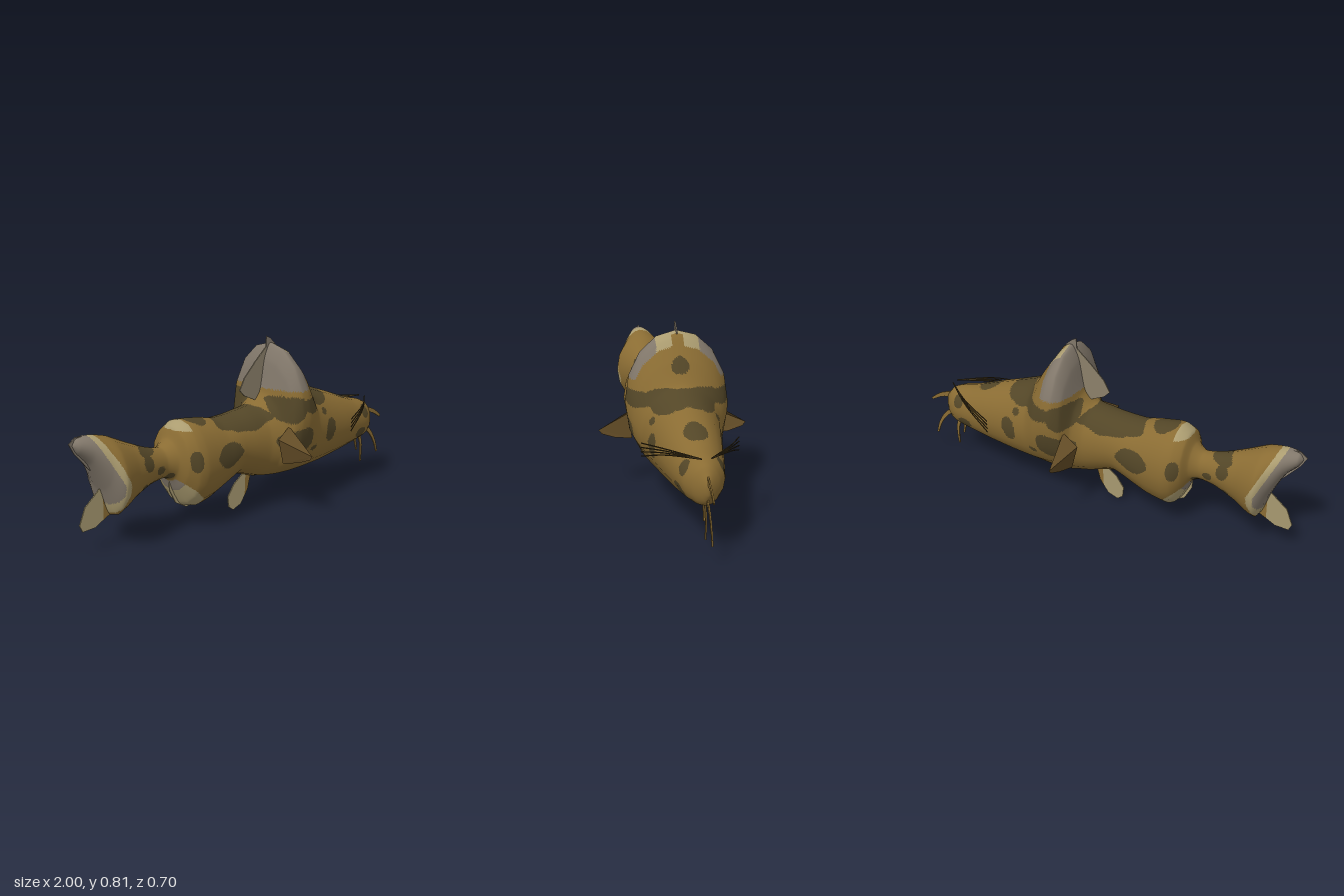
import * as THREE from 'three';

const mat = (name, color, side = THREE.FrontSide) => {
  const m = new THREE.MeshStandardMaterial({ color, side });
  m.name = name;
  return m;
};
const brown = mat('brownSkin', 0x8a6c33);
const dark = mat('darkBlotch', 0x534627);
const cream = mat('creamEdge', 0xab9c70);
const gray = mat('grayFin', 0x81776a);
const rayGray = mat('warmGrayFin', 0x8b806a);
const paleFin = mat('paleFin', 0xa6986f);
const darkFin = mat('darkFin', 0x634c26, THREE.DoubleSide);
const whiskerMat = mat('whiskerBrown', 0x3f3218);

// Body stations: x, top y, bottom y, half width
const STATIONS = [
  [-0.985, 0.485, 0.485, 0], [-0.965, 0.513, 0.45, 0.035], [-0.91, 0.52, 0.39, 0.065], [-0.85, 0.51, 0.27, 0.105],
  [-0.8, 0.495, 0.145, 0.14], [-0.7, 0.45, 0.19, 0.1], [-0.6, 0.41, 0.235, 0.073], [-0.52, 0.395, 0.25, 0.062],
  [-0.475, 0.425, 0.235, 0.085], [-0.45, 0.475, 0.18, 0.13], [-0.41, 0.5, 0.11, 0.158], [-0.365, 0.502, 0.089, 0.165],
  [-0.28, 0.49, 0.105, 0.152], [-0.2, 0.475, 0.14, 0.14], [-0.1, 0.48, 0.183, 0.13], [-0.03, 0.49, 0.17, 0.132],
  [0.05, 0.505, 0.145, 0.14], [0.1, 0.56, 0.137, 0.165], [0.13, 0.71, 0.134, 0.213], [0.165, 0.78, 0.133, 0.234],
  [0.21, 0.76, 0.133, 0.235], [0.27, 0.675, 0.135, 0.217], [0.34, 0.57, 0.137, 0.183], [0.45, 0.525, 0.144, 0.158],
  [0.6, 0.473, 0.165, 0.132], [0.72, 0.43, 0.186, 0.108], [0.8, 0.41, 0.2, 0.09], [0.85, 0.39, 0.213, 0.062],
  [0.877, 0.36, 0.235, 0.036], [0.896, 0.33, 0.27, 0.012], [0.9, 0.3, 0.3, 0]
];

// Dark flank blotches: x, y, x radius, y radius
const BLOTCHES = [
  [-0.06, 0.46, 0.14, 0.05], [-0.18, 0.455, 0.06, 0.028], [-0.21, 0.325, 0.085, 0.055], [-0.42, 0.33, 0.028, 0.05],
  [-0.62, 0.41, 0.055, 0.03], [-0.635, 0.355, 0.03, 0.04], [-0.56, 0.305, 0.023, 0.02],
  [-0.65, 0.245, 0.018, 0.016], [-0.5, 0.26, 0.02, 0.02], [0.39, 0.515, 0.095, 0.05], [0.25, 0.5, 0.1, 0.038],
  [0.13, 0.49, 0.06, 0.06], [0.17, 0.33, 0.09, 0.065], [0.4, 0.435, 0.02, 0.018], [0.44, 0.335, 0.043, 0.055],
  [0.29, 0.275, 0.025, 0.016], [0.74, 0.252, 0.042, 0.03], [0.78, 0.36, 0.03, 0.035]
];

// Dark blotches straddling the back: x, x radius, z radius
const BACK_BLOTCHES = [[-0.33, 0.06, 0.075], [0.285, 0.022, 0.04], [0.63, 0.06, 0.052]];

// Index into the body materials for a point on the skin
function skinColour(x, y, z) {
  const az = Math.abs(z);
  // Tail margin
  const tailEdge = -0.775 - Math.max(0, y - 0.3) * 0.48 - Math.max(0, 0.26 - y) * 0.35;
  if (x < tailEdge) return x < tailEdge - 0.032 ? 3 : 2;
  // Crest of the hump, with a brown keel in the middle
  if (y > 0.575 && x < 0.235 && !(az < 0.03 && x > 0.195)) return x > 0.175 && az < 0.1 ? 2 : 3;
  // Rear humps, above and below
  if (x < -0.4 && x > -0.47 && y > 0.465) return 2;
  if (x > -0.47 && x < -0.35 && y < 0.235 - 0.9 * (x + 0.46)) return x < -0.45 ? 3 : 2;
  if (y > 0.4 && BACK_BLOTCHES.some(([cx, rx, rz]) => Math.hypot((x - cx) / rx, z / rz) < 1)) return 1;
  const wobble = 1 + 0.12 * Math.sin(x * 38 + y * 15) * Math.sin(y * 43 - x * 11);
  return BLOTCHES.some(([cx, cy, rx, ry]) => Math.hypot((x - cx) / rx, (y - cy) / ry) < wobble) ? 1 : 0;
}

function createBody() {
  const SIDES = 16, SUB = 10, ROUND = SIDES * SUB, LEN = 400;
  const curve = k => new THREE.CatmullRomCurve3(
    STATIONS.map(s => new THREE.Vector3(s[0], s[k], s[3])), false, 'catmullrom', 0.35);
  const topCurve = curve(1), bottomCurve = curve(2);
  const rings = Array.from({ length: LEN + 1 }, (_, i) => {
    const t = topCurve.getPoint(i / LEN), b = bottomCurve.getPoint(i / LEN);
    return { x: t.x, c: (t.y + b.y) / 2, h: Math.max(0, (t.y - b.y) / 2), w: Math.max(0, t.z) };
  });
  const place = (r, a) => new THREE.Vector3(r.x, r.c + r.h * Math.cos(a), r.w * Math.sin(a));

  const pos = [], buckets = [[], [], [], []];
  for (const r of rings)
    for (let j = 0; j < ROUND; j++) pos.push(...place(r, j / ROUND * Math.PI * 2).toArray());
  const addTriangle = (...tri) => {
    const mid = k => tri.reduce((sum, v) => sum + pos[v * 3 + k], 0) / 3;
    buckets[skinColour(mid(0), mid(1), mid(2))].push(...tri);
  };
  for (let i = 0; i < LEN; i++) {
    for (let j = 0; j < ROUND; j++) {
      const a = i * ROUND + j, b = i * ROUND + (j + 1) % ROUND, c = a + ROUND, d = b + ROUND;
      addTriangle(a, b, c);
      addTriangle(b, d, c);
    }
  }
  const g = new THREE.BufferGeometry();
  g.setAttribute('position', new THREE.Float32BufferAttribute(pos, 3));
  g.setIndex(buckets.flat());
  g.computeVertexNormals();
  let start = 0;
  buckets.forEach((b, k) => { g.addGroup(start, b.length, k); start += b.length; });

  // Keep the smooth normals but settle the rings onto sixteen flat sides
  const p = g.attributes.position, step = Math.PI * 2 / SIDES;
  rings.forEach((r, i) => {
    for (let j = 0; j < ROUND; j++) {
      const k = Math.floor(j / SUB);
      const v = place(r, k * step).lerp(place(r, (k + 1) * step), (j % SUB) / SUB);
      p.setXYZ(i * ROUND + j, v.x, v.y, v.z);
    }
  });
  const mesh = new THREE.Mesh(g, [brown, dark, cream, gray]);
  mesh.name = 'body';
  return mesh;
}

// Thin upright plate on the centre plane
function plate(name, points, material) {
  const shape = new THREE.Shape(points.map(([x, y]) => new THREE.Vector2(x, y)));
  const g = new THREE.ExtrudeGeometry(shape, { depth: 0.006, bevelEnabled: false });
  g.translate(0, 0, -0.003);
  const mesh = new THREE.Mesh(g, material);
  mesh.name = name;
  return mesh;
}

// Tapered curved ribbon for the mouth barbels
function barbel(name, points, width) {
  const curve = new THREE.SplineCurve(points.map(([x, y]) => new THREE.Vector2(x, y)));
  const left = [], right = [];
  for (let i = 0; i <= 10; i++) {
    const t = i / 10, p = curve.getPoint(t), d = curve.getTangent(t), w = width * (1 - 0.65 * t) / 2;
    left.push([p.x - d.y * w, p.y + d.x * w]);
    right.unshift([p.x + d.y * w, p.y - d.x * w]);
  }
  return plate(name, [...left, ...right], brown);
}

// Side fin as a small fan of triangles
function pectoralFin(side) {
  const pts = [[0.1, 0.3, 0.35], [0.12, 0.41, 0.18], [0.04, 0.36, 0.19], [0.07, 0.24, 0.19], [0.09, 0.255, 0.27], [0.1, 0.28, 0.335]];
  const g = new THREE.BufferGeometry();
  g.setAttribute('position', new THREE.Float32BufferAttribute(pts.flatMap(([x, y, z]) => [x, y, z * side]), 3));
  const index = [];
  for (let i = 1; i < pts.length - 1; i++) index.push(0, ...(side > 0 ? [i, i + 1] : [i + 1, i]));
  g.setIndex(index);
  const flat = g.toNonIndexed();
  flat.computeVertexNormals();
  const mesh = new THREE.Mesh(flat, darkFin);
  mesh.name = side > 0 ? 'pectoralFinNear' : 'pectoralFinFar';
  return mesh;
}

function whiskers(side) {
  const group = new THREE.Group();
  group.name = side > 0 ? 'whiskersNear' : 'whiskersFar';
  for (let i = 0; i < 4; i++) {
    const y = 0.32 + i * 0.02;
    const curve = new THREE.CatmullRomCurve3([
      new THREE.Vector3(0.85, 0.417, 0.018 * side),
      new THREE.Vector3(0.7, 0.417 * 0.58 + y * 0.42 + 0.01, 0.135 * side),
      new THREE.Vector3(0.52, y, 0.215 * side)
    ]);
    const mesh = new THREE.Mesh(new THREE.TubeGeometry(curve, 16, 0.0028, 5), whiskerMat);
    mesh.name = 'whisker';
    group.add(mesh);
  }
  return group;
}

export function createModel() {
  const model = new THREE.Group();
  model.name = 'fish';
  model.add(createBody());

  // Centre-plane fins
  model.add(
    plate('dorsalFin', [[0.16, 0.78], [0.07, 0.7], [0, 0.63], [-0.03, 0.575], [0, 0.545], [0.07, 0.515], [0.16, 0.5]], rayGray),
    plate('dorsalSpine', [[0.145, 0.815], [0.14, 0.74], [0.2, 0.74], [0.2, 0.775], [0.17, 0.802]], gray),
    plate('upperTailLobe', [[-1, 0.495], [-0.965, 0.52], [-0.88, 0.515], [-0.82, 0.35], [-0.9, 0.365], [-0.975, 0.45]], gray),
    plate('lowerTailLobe', [[-0.835, 0.285], [-0.93, 0.205], [-0.96, 0.13], [-0.945, 0.1], [-0.88, 0.105], [-0.835, 0.13]], paleFin),
    plate('lowerTailRoot', [[-0.77, 0.3], [-0.835, 0.285], [-0.835, 0.13], [-0.8, 0.148]], brown),
    plate('analFin', [[-0.47, 0.25], [-0.465, 0.18], [-0.43, 0.115], [-0.37, 0.083], [-0.29, 0.097], [-0.22, 0.13], [-0.3, 0.25]], paleFin),
    plate('pelvicFin', [[-0.01, 0.17], [-0.07, 0.125], [-0.108, 0.07], [-0.103, 0.02], [-0.075, 0], [-0.025, 0.02], [0, 0.055], [0.005, 0.16]], paleFin),
    plate('pelvicFinRoot', [[0.005, 0.16], [0, 0.055], [0.02, 0.085], [0.04, 0.16]], brown)
  );

  // Mouth barbels
  model.add(
    barbel('snoutBarbel', [[0.87, 0.34], [0.94, 0.32], [1, 0.283]], 0.032),
    barbel('lipBarbel', [[0.87, 0.25], [0.92, 0.21], [0.96, 0.15], [0.98, 0.09]], 0.026),
    barbel('chinBarbel', [[0.83, 0.22], [0.85, 0.15], [0.848, 0.06]], 0.022),
    barbel('jawBarbel', [[0.77, 0.22], [0.8, 0.19], [0.815, 0.13]], 0.02)
  );

  for (const side of [1, -1]) model.add(pectoralFin(side), whiskers(side));
  return model;
}
